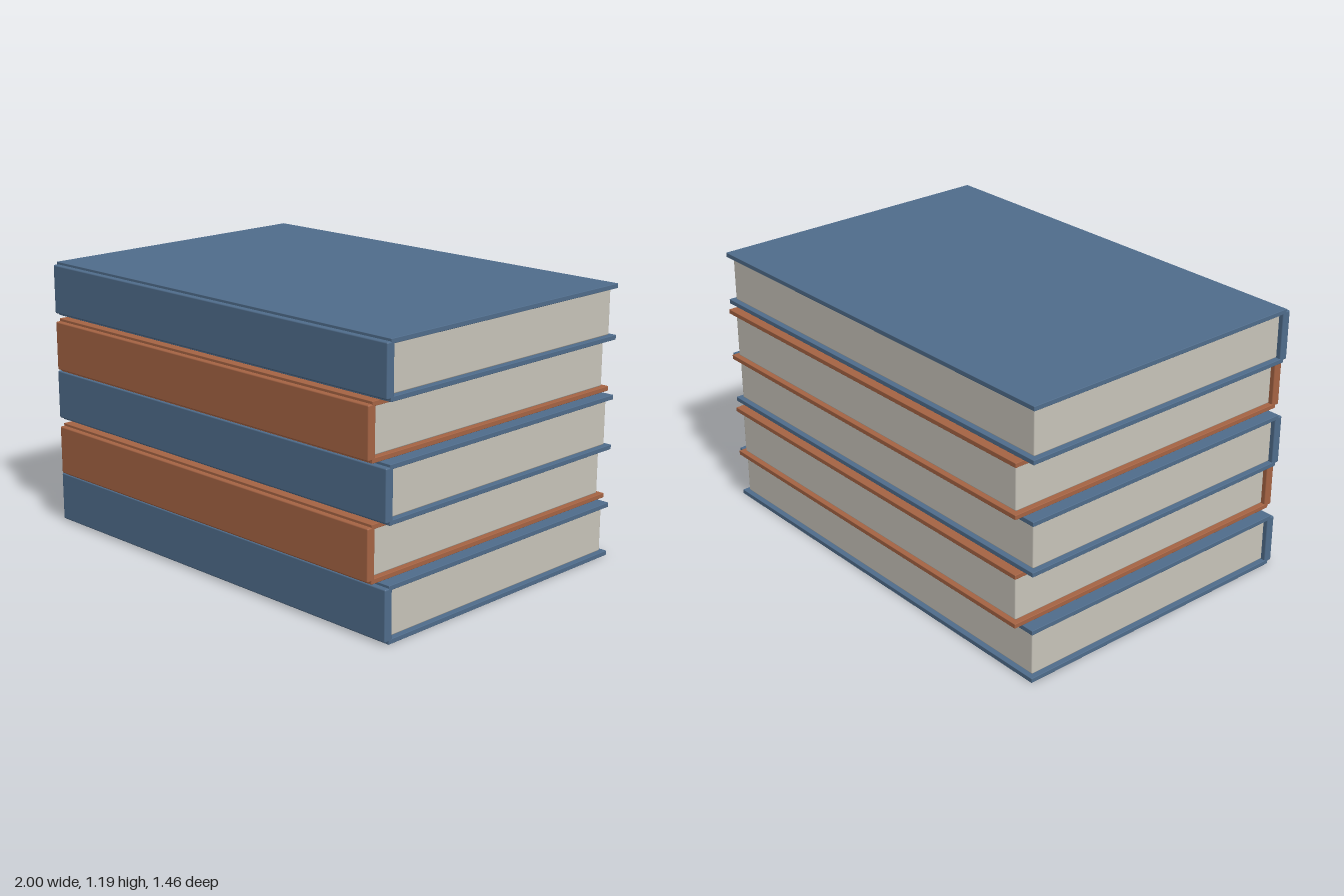
import * as THREE from 'three';
import { RoundedBoxGeometry } from 'three/addons/geometries/RoundedBoxGeometry.js';

const PITCH = 0.238;  // thickness of one book
const COVER = 0.02;   // board thickness
const INSET = 0.021;  // how far the pages sit inside the boards

const material = (name, color) => {
  const m = new THREE.MeshStandardMaterial({ color });
  m.name = name;
  return m;
};

// Box spanning y0..y1 and z0..z1, centred on x, with softened edges
function slab(name, mat, width, y0, y1, z0, z1, radius) {
  const mesh = new THREE.Mesh(new RoundedBoxGeometry(width, y1 - y0, z1 - z0, 2, radius), mat);
  mesh.name = name;
  mesh.position.set(0, (y0 + y1) / 2, (z0 + z1) / 2);
  return mesh;
}

// Closed book lying flat, spine towards +z
function createBook(width, depth, coverMat, pageMat) {
  const book = new THREE.Group();
  const z = depth / 2;
  book.add(
    slab('bottomCover', coverMat, width, 0, COVER, -z, z - 0.021, 0.002),
    slab('topCover', coverMat, width, PITCH - COVER, PITCH, -z, z - 0.021, 0.002),
    slab('spine', coverMat, width, 0.011, PITCH - 0.011, z - 0.039, z, 0.006),
    slab('pages', pageMat, width - 2 * INSET, COVER, PITCH - COVER, -z + INSET, z - 0.037, 0.006),
  );
  return book;
}

export function createModel() {
  const blue = material('blueCloth', 0x506d8c);
  const brown = material('rustCloth', 0xa66444);
  const paper = material('paper', 0xc9c5bb);

  // Five books, alternating wide blue and deep rust ones
  const stack = new THREE.Group();
  stack.name = 'bookStack';
  for (let i = 0; i < 5; i++) {
    const isBlue = i % 2 === 0;
    const book = isBlue
      ? createBook(2, 1.384, blue, paper)
      : createBook(1.89, 1.462, brown, paper);
    book.name = isBlue ? 'blueBook' : 'rustBook';
    book.position.y = i * PITCH;
    stack.add(book);
  }
  return stack;
}
